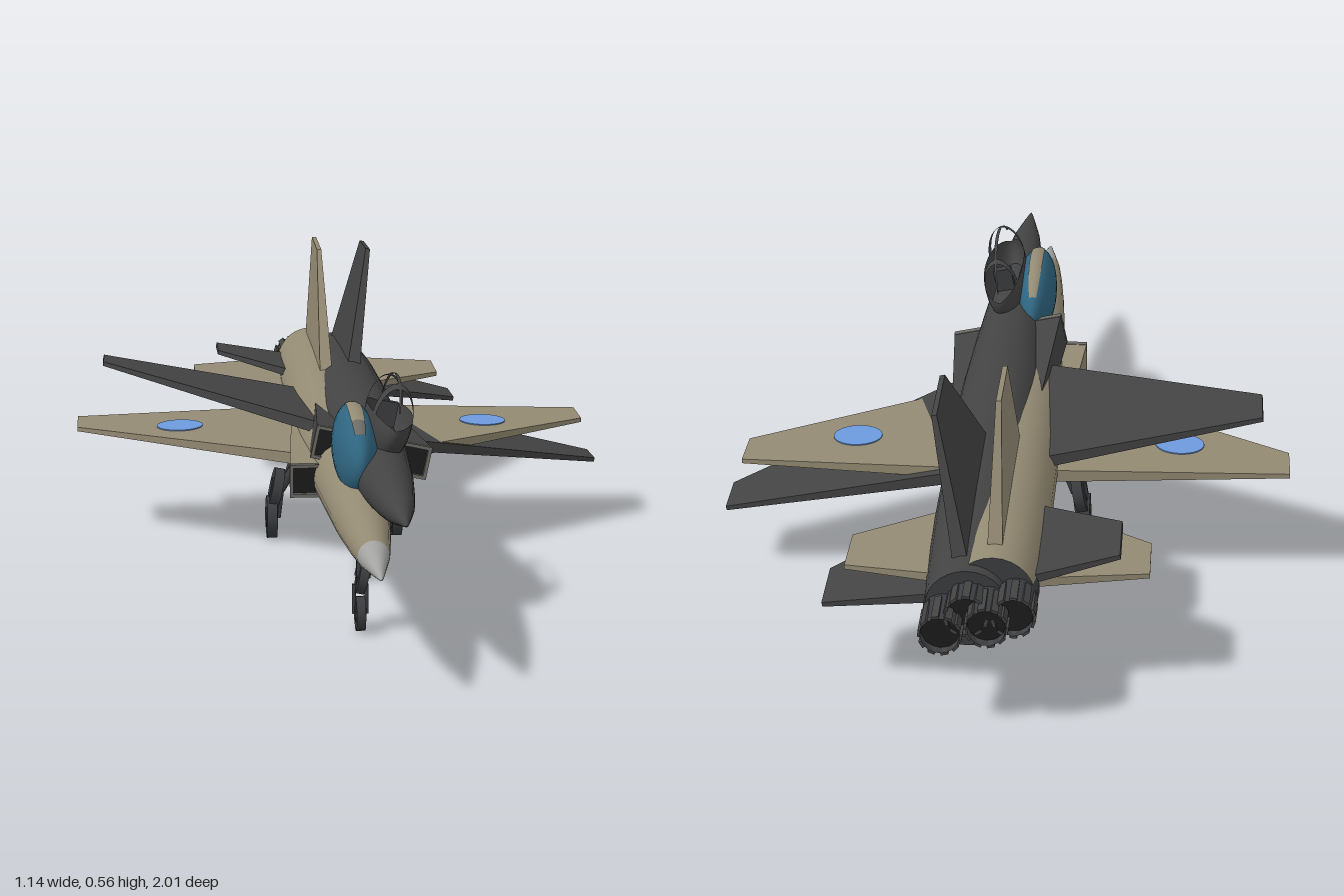
import * as THREE from 'three';

const mat = (name, color, side = THREE.FrontSide) => {
  const m = new THREE.MeshStandardMaterial({ color, side });
  m.name = name;
  return m;
};
const lerp = THREE.MathUtils.lerp;

export function createModel() {
  const tan = mat('tan', 0x938a73, THREE.DoubleSide);
  const charcoal = mat('charcoal', 0x434343, THREE.DoubleSide);
  const gunmetal = mat('gunmetal', 0x3c3d40, THREE.DoubleSide);
  const noseGrey = mat('nose grey', 0xa3a3a1);
  const intakeGrey = mat('intake grey', 0x6c6b66);
  const black = mat('black', 0x1c1c1d);
  const glass = mat('canopy glass', 0x2f6580);
  const blue = mat('marking blue', 0x6d9ade);

  const add = (parent, name, geo, material, x = 0, y = 0, z = 0) => {
    const m = new THREE.Mesh(geo, material);
    m.name = name;
    m.position.set(x, y, z);
    parent.add(m);
    return m;
  };

  // Tapered slab: root and tip are [span, leading z, trailing z, thickness]
  const panel = (root, tip) => {
    const g = new THREE.BoxGeometry(1, 1, 1);
    const p = g.attributes.position;
    for (let i = 0; i < p.count; i++) {
      const s = p.getX(i) + 0.5, c = p.getZ(i) + 0.5;
      const [x, lead, trail, t] = root.map((v, k) => lerp(v, tip[k], s));
      p.setXYZ(i, x, p.getY(i) * t, lerp(trail, lead, c));
    }
    g.computeVertexNormals();
    return g;
  };

  // Body of revolution along z, points are [z, radius] from tail to nose
  const turned = (pts) =>
    new THREE.LatheGeometry(pts.map(([z, r]) => new THREE.Vector2(r, z)), 28).rotateX(Math.PI / 2);

  // Patch of the canopy ellipsoid
  const canopyPatch = (phi, phiLen, theta, thetaLen, s = 1) =>
    new THREE.SphereGeometry(1, 28, 18, phi, phiLen, theta, thetaLen)
      .rotateX(Math.PI / 2).scale(0.045 * s, 0.085 * s, 0.175 * s);

  // Round bar between two points
  const rod = (parent, name, a, b, r, material) => {
    const A = new THREE.Vector3(...a), B = new THREE.Vector3(...b);
    const d = B.clone().sub(A);
    const m = add(parent, name, new THREE.CylinderGeometry(r, r, d.length(), 10), material);
    m.position.copy(A).add(B).multiplyScalar(0.5);
    m.quaternion.setFromUnitVectors(new THREE.Vector3(0, 1, 0), d.normalize());
  };

  const wheel = (parent, name, x, y, z, r, w) => {
    add(parent, name, new THREE.CylinderGeometry(r, r, w, 20).rotateZ(Math.PI / 2), gunmetal, x, y, z);
    add(parent, name + 'Hub', new THREE.CylinderGeometry(r * 0.5, r * 0.5, w + 0.004, 14).rotateZ(Math.PI / 2), charcoal, x, y, z);
  };

  // One aircraft, origin on the body axis
  const makeJet = (name, paint, nosePaint, closed) => {
    const jet = new THREE.Group();
    jet.name = name;

    // Fuselage
    add(jet, 'fuselage', turned([[-0.9, 0.078], [-0.8, 0.084], [-0.6, 0.089], [-0.3, 0.089], [0, 0.084],
      [0.2, 0.075], [0.4, 0.064], [0.6, 0.053], [0.74, 0.041], [0.84, 0.03]]), paint);
    add(jet, 'noseCone', turned([[0.84, 0.03], [0.92, 0.016], [0.98, 0.005], [1, 0]]), nosePaint);
    add(jet, 'rearBulkhead', new THREE.CircleGeometry(0.078, 28).rotateY(Math.PI), gunmetal, 0, 0, -0.9);

    // Wings, tailplanes, intakes, nozzles and main gear on both sides
    const wing = panel([0.05, 0.113, -0.358, 0.026], [0.555, -0.22, -0.325, 0.009]);
    const tail = panel([0.05, -0.52, -0.855, 0.02], [0.285, -0.68, -0.81, 0.009]);
    for (const side of [1, -1]) {
      const turn = side > 0 ? 0 : Math.PI;
      add(jet, 'wing', wing, paint, 0, -0.003).rotation.z = turn;
      add(jet, 'tailplane', tail, paint, 0, 0.006).rotation.z = turn;

      const duct = new THREE.BoxGeometry(0.065, 0.066, 0.5);
      const p = duct.attributes.position;
      for (let i = 0; i < p.count; i++) {
        if (p.getZ(i) < 0) p.setXYZ(i, p.getX(i) * 0.6 - side * 0.02, p.getY(i) * 0.6, p.getZ(i));
      }
      duct.computeVertexNormals();
      add(jet, 'intakeDuct', duct, paint, side * 0.087, 0, 0.02);
      const lip = new THREE.Shape([[-0.033, -0.034], [0.033, -0.034], [0.033, 0.034], [-0.033, 0.034]]
        .map(([x, y]) => new THREE.Vector2(x, y)));
      lip.holes.push(new THREE.Path([[-0.026, -0.027], [-0.026, 0.027], [0.026, 0.027], [0.026, -0.027]]
        .map(([x, y]) => new THREE.Vector2(x, y))));
      add(jet, 'intakeLip', new THREE.ExtrudeGeometry(lip, { depth: 0.015, bevelEnabled: false }),
        intakeGrey, side * 0.087, 0, 0.268);
      add(jet, 'intakeOpening', new THREE.PlaneGeometry(0.054, 0.056), black, side * 0.087, 0, 0.272);

      add(jet, 'nozzle', new THREE.CylinderGeometry(0.041, 0.036, 0.125, 14, 1, true).rotateX(Math.PI / 2),
        gunmetal, side * 0.043, 0, -0.9225);
      add(jet, 'nozzleCore', new THREE.CircleGeometry(0.036, 14).rotateY(Math.PI), black, side * 0.043, 0, -0.965);
      for (let i = 0; i < 10; i++) {
        const a = (i / 10) * Math.PI * 2;
        add(jet, 'nozzlePetal', new THREE.BoxGeometry(0.014, 0.005, 0.075), charcoal,
          side * 0.043 + Math.sin(a) * 0.038, Math.cos(a) * 0.038, -0.947).rotation.z = -a;
      }

      rod(jet, 'mainGearLeg', [side * 0.07, -0.05, -0.14], [side * 0.115, -0.125, -0.14], 0.01, gunmetal);
      rod(jet, 'mainGearStrut', [side * 0.113, -0.11, -0.14], [side * 0.123, -0.19, -0.14], 0.007, gunmetal);
      wheel(jet, 'mainWheel', side * 0.136, -0.188, -0.14, 0.046, 0.022);
    }

    // Fin
    add(jet, 'fin', panel([0.05, -0.33, -0.86, 0.03], [0.325, -0.58, -0.75, 0.01]), paint).rotation.z = Math.PI / 2;

    // Nose gear
    rod(jet, 'noseGearLeg', [0, -0.04, 0.545], [0, -0.15, 0.545], 0.008, gunmetal);
    for (const side of [1, -1]) {
      rod(jet, 'noseGearFork', [side * 0.012, -0.14, 0.545], [side * 0.012, -0.2, 0.545], 0.004, gunmetal);
    }
    wheel(jet, 'noseWheel', 0, -0.2, 0.545, 0.034, 0.018);

    // Canopy: glazed, or an empty frame over an open cockpit
    const cockpit = new THREE.Group();
    cockpit.name = 'cockpit';
    cockpit.position.set(0, 0.1, 0.415);
    jet.add(cockpit);
    const top = Math.PI * 1.5;
    if (closed) {
      add(cockpit, 'canopyGlass', canopyPatch(0, Math.PI * 2, 0, Math.PI), glass);
      add(cockpit, 'canopySpine', canopyPatch(top - 0.33, 0.66, 1.1, 1.5, 1.012), paint);
      add(cockpit, 'windscreenFrame', canopyPatch(top - 0.33, 0.66, 0.75, 0.35, 1.012), intakeGrey);
    } else {
      add(cockpit, 'cockpitSill', canopyPatch(-0.2, Math.PI + 0.4, 0, Math.PI), paint);
      add(cockpit, 'canopySpine', canopyPatch(top - 0.08, 0.16, 0.4, 2.5), paint);
      add(cockpit, 'windscreenFrame', canopyPatch(Math.PI, Math.PI, 0.98, 0.17), paint);
      add(cockpit, 'rearFrame', canopyPatch(Math.PI, Math.PI, 2.15, 0.1), paint);
      add(cockpit, 'seat', new THREE.BoxGeometry(0.04, 0.05, 0.02), gunmetal, 0, 0, -0.04);
    }
    return jet;
  };

  const model = new THREE.Group();
  model.name = 'aircraftPair';

  // Level tan aircraft with round wing markings
  const tanJet = makeJet('tanAircraft', tan, noseGrey, true);
  tanJet.position.set(-0.02, 0.235, 0);
  for (const side of [1, -1]) {
    add(tanJet, 'wingMarking', new THREE.CylinderGeometry(0.05, 0.05, 0.004, 32), blue, side * 0.332, 0.0055, -0.2)
      .rotation.z = -side * 0.0168;
  }

  // Dark aircraft, banked and slightly nose up
  const darkJet = makeJet('darkAircraft', charcoal, charcoal, false);
  darkJet.position.set(0.027, 0.27, -0.02);
  darkJet.rotation.set(-0.058, 0, -0.213);

  model.add(tanJet, darkJet);
  return model;
}
